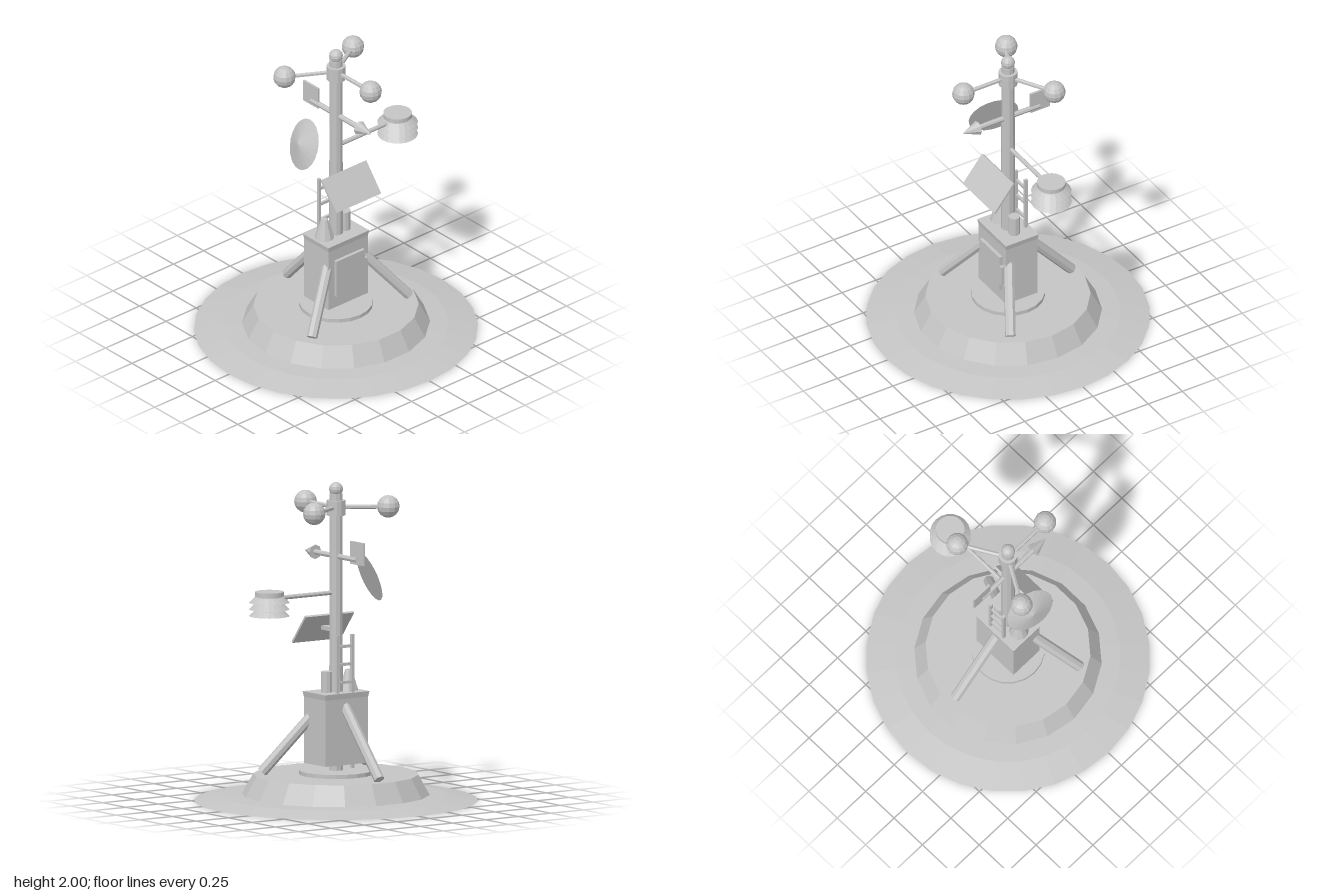
import * as THREE from 'three';

const V = (x, y, z) => new THREE.Vector3(x, y, z);

export function createModel() {
  const root = new THREE.Group();
  root.name = 'weatherStation';
  const grey = new THREE.MeshStandardMaterial({ color: 0xc4c4c4, flatShading: true });
  grey.name = 'plain grey';

  const add = (name, geometry, x = 0, y = 0, z = 0, parent = root) => {
    const mesh = new THREE.Mesh(geometry, grey);
    mesh.name = name;
    mesh.position.set(x, y, z);
    parent.add(mesh);
    return mesh;
  };
  const box = (name, w, h, d, x, y, z, parent) => add(name, new THREE.BoxGeometry(w, h, d), x, y, z, parent);
  // Upright tapered cylinder between two heights
  const drum = (name, rTop, rBottom, y0, y1, sides, x = 0, z = 0, parent = root) =>
    add(name, new THREE.CylinderGeometry(rTop, rBottom, y1 - y0, sides), x, (y0 + y1) / 2, z, parent);
  // Cylinder from point a (radius ra) to point b (radius rb)
  const rod = (name, a, b, ra, rb, sides, parent = root) => {
    const mesh = add(name, new THREE.CylinderGeometry(rb, ra, a.distanceTo(b), sides), 0, 0, 0, parent);
    mesh.position.copy(a).lerp(b, 0.5);
    mesh.quaternion.setFromUnitVectors(V(0, 1, 0), b.clone().sub(a).normalize());
    return mesh;
  };
  const group = (name) => {
    const g = new THREE.Group();
    g.name = name;
    root.add(g);
    return g;
  };

  // Ground mound, plinth and mounting plate
  const mound = [[0, 0], [0.885, 0], [0.7, 0.032], [0.5, 0.042], [0, 0.042]].map(p => new THREE.Vector2(...p));
  add('groundMound', new THREE.LatheGeometry(mound, 28));
  drum('plinth', 0.515, 0.587, 0.035, 0.165, 18).rotation.y = Math.PI / 18;
  drum('mountingPlate', 0.23, 0.23, 0.165, 0.19, 20);

  // Mast
  drum('mast', 0.041, 0.046, 0.165, 1.93, 10);

  // Equipment cabinet with flared lid and door
  const cabinet = group('cabinet');
  box('cabinetBody', 0.326, 0.42, 0.23, 0, 0.445, 0, cabinet);
  const lid = new THREE.BoxGeometry(0.326, 0.035, 0.23);
  const lp = lid.attributes.position;
  for (let i = 0; i < lp.count; i++) {
    if (lp.getY(i) > 0) lp.setXYZ(i, lp.getX(i) * 1.04, lp.getY(i), lp.getZ(i) * 1.05);
  }
  add('cabinetLid', lid, 0, 0.668, 0, cabinet);
  box('cabinetDoor', 0.233, 0.255, 0.03, 0.002, 0.447, 0.122, cabinet);
  box('doorLatch', 0.03, 0.135, 0.03, 0.127, 0.442, 0.122, cabinet);

  // Instruments on the lid
  drum('conicalSensor', 0.022, 0.064, 0.68, 0.815, 10, -0.096, 0);
  drum('rainGauge', 0.037, 0.037, 0.68, 0.815, 10, 0.073, 0);

  // Three bracing legs
  for (let i = 0; i < 3; i++) {
    const a = Math.PI + i * Math.PI * 2 / 3;
    const s = Math.sin(a), c = Math.cos(a);
    rod('braceLeg', V(0.463 * s, 0.182, 0.463 * c), V(0.08 * s, 0.615, 0.08 * c), 0.034, 0.034, 8);
  }

  // Ladder behind the mast
  const ladder = group('ladder');
  for (const side of [-1, 1]) box('ladderRail', 0.018, 0.84, 0.02, side * 0.057, 0.63, -0.095, ladder);
  for (let i = 0; i < 7; i++) box('ladderRung', 0.11, 0.018, 0.016, 0, 0.3 + i * 0.113, -0.095, ladder);

  // Tilted solar panel and bracket
  box('solarPanel', 0.37, 0.227, 0.014, 0, 1.072, 0.14).rotation.x = -0.675;
  box('panelBracket', 0.05, 0.026, 0.1, 0, 1.073, 0.075);

  // Louvred sensor shield on a side arm
  const shield = group('sensorShield');
  rod('shieldArm', V(0.02, 1.307, 0), V(0.51, 1.307, 0), 0.014, 0.014, 8, shield);
  drum('shieldCore', 0.08, 0.08, 1.205, 1.33, 16, 0.51, 0, shield);
  for (let i = 0; i < 3; i++) {
    drum('shieldLouvre', 0.09, 0.127, 1.2 + i * 0.042, 1.235 + i * 0.042, 20, 0.51, 0, shield);
  }
  drum('shieldCap', 0.09, 0.09, 1.324, 1.352, 20, 0.51, 0, shield);

  // Shallow dish, flat side towards the mast
  const facing = V(0.9, -0.35, 0.22).normalize();
  const rim = V(-0.23, 1.39, -0.037);
  rod('dish', rim, rim.clone().addScaledVector(facing, -0.05), 0.162, 0.001, 20);

  // Wind vane
  const vane = group('windVane');
  rod('vaneRod', V(0, 1.535, -0.23), V(0, 1.535, 0.23), 0.017, 0.017, 8, vane);
  rod('vaneArrowhead', V(0, 1.535, 0.22), V(0, 1.535, 0.332), 0.046, 0.001, 8, vane);
  box('vaneTail', 0.014, 0.143, 0.14, 0, 1.577, -0.232, vane);

  // Spinning cups and finial
  const cups = group('anemometer');
  drum('anemometerHub', 0.06, 0.06, 1.792, 1.886, 12, 0, 0, cups);
  for (let i = 0; i < 3; i++) {
    const a = i * Math.PI * 2 / 3;
    const end = V(0.327 * Math.sin(a), 1.842, 0.327 * Math.cos(a));
    rod('cupArm', V(0, 1.842, 0), end, 0.014, 0.014, 6, cups);
    add('cup', new THREE.SphereGeometry(0.071, 12, 8), end.x, end.y, end.z, cups);
  }
  add('finial', new THREE.SphereGeometry(0.044, 12, 8), 0, 1.956, 0);

  return root;
}
